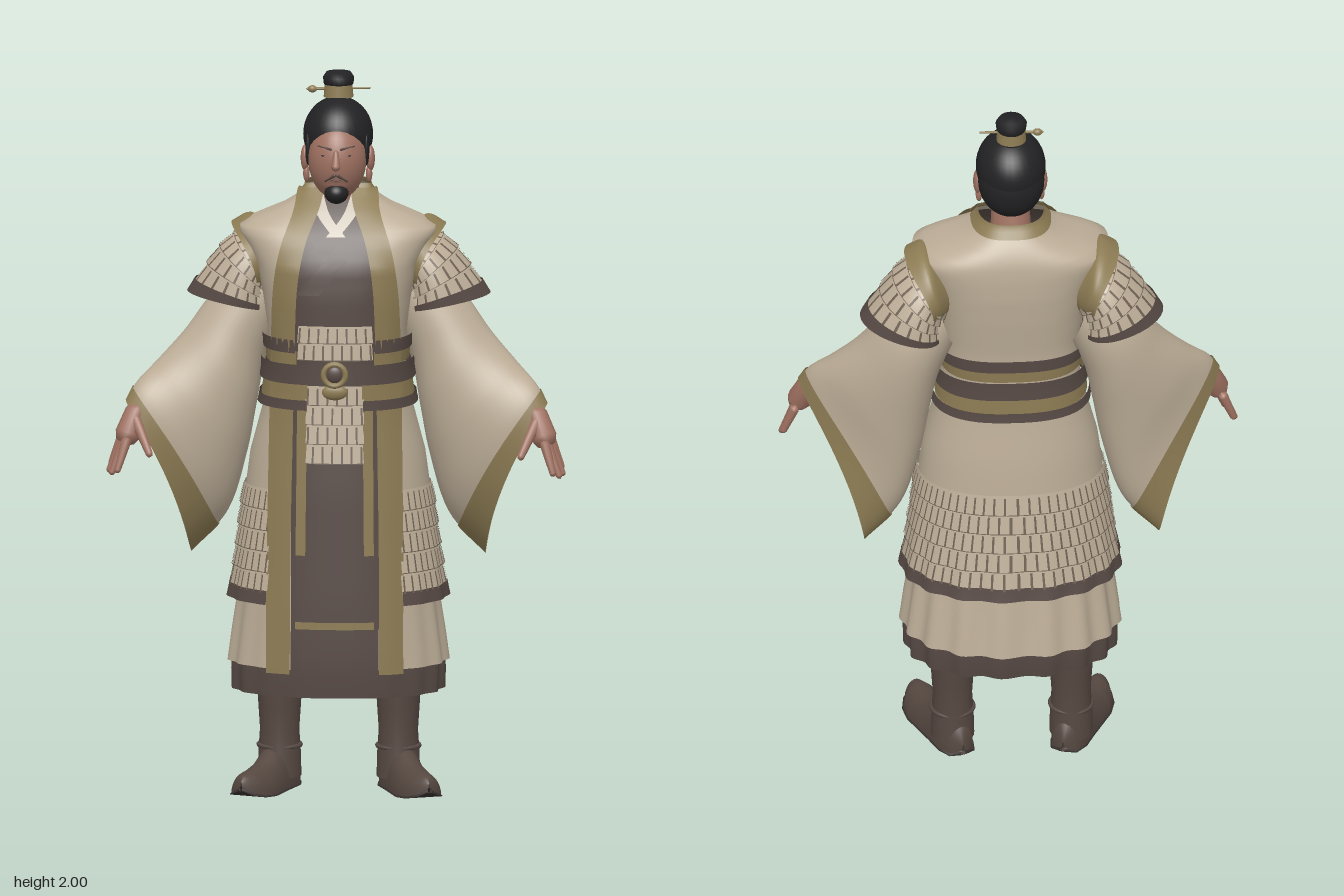
import * as THREE from 'three';
import { mergeGeometries, mergeVertices } from 'three/addons/utils/BufferGeometryUtils.js';

const V = (x, y, z = 0) => new THREE.Vector3(x, y, z);
const { lerp, clamp } = THREE.MathUtils;
const mat = (name, color) => {
  const m = new THREE.MeshStandardMaterial({ color, side: THREE.DoubleSide });
  m.name = name;
  return m;
};
const cream = mat('cream cloth', 0xbcad97), gold = mat('gold trim', 0x8d7c54), brown = mat('brown cloth', 0x574a45),
  lace = mat('lacing', 0x6e6052), skin = mat('skin', 0xa07262), hair = mat('black hair', 0x222224),
  leather = mat('boot leather', 0x564841), sole = mat('sole', 0x38312f), white = mat('white collar', 0xc9c0b1);

// Smooth surface from f(u, v) with u and v in 0..1
function grid(f, nu, nv) {
  const pos = [], idx = [];
  for (let j = 0; j <= nv; j++) for (let i = 0; i <= nu; i++) pos.push(...f(i / nu, j / nv).toArray());
  for (let j = 0; j < nv; j++) for (let i = 0; i < nu; i++) {
    const a = j * (nu + 1) + i, b = a + nu + 1;
    idx.push(a, b, a + 1, a + 1, b, b + 1);
  }
  let g = new THREE.BufferGeometry();
  g.setAttribute('position', new THREE.Float32BufferAttribute(pos, 3));
  g.setIndex(idx);
  g = mergeVertices(g, 1e-5);
  g.computeVertexNormals();
  return g;
}
function add(parent, name, geo, m) {
  const mesh = new THREE.Mesh(geo, m);
  mesh.name = name;
  parent.add(mesh);
  return mesh;
}
function ball(parent, name, m, p, r) {
  const b = add(parent, name, new THREE.SphereGeometry(1, 32, 24), m);
  b.position.set(...p);
  b.scale.set(...r);
}
// Tapered rounded limb between two points
function limb(parent, name, m, a, b, r0, r1) {
  const d = b.clone().sub(a), L = d.length();
  const prof = [[0, -r0], [r0 * 0.8, -r0 * 0.5], [r0, 0], [r1, L], [r1 * 0.75, L + r1 * 0.6], [0, L + r1]];
  const g = new THREE.LatheGeometry(prof.map(p => new THREE.Vector2(...p)), 12);
  const mesh = add(parent, name, g, m);
  mesh.position.copy(a);
  mesh.quaternion.setFromUnitVectors(V(0, 1, 0), d.normalize());
}

// Clothed body outline: y, half width, front z, back z
const OUT = [[0.29, 0.296, 0.205, -0.215], [0.37, 0.298, 0.213, -0.23], [0.56, 0.272, 0.21, -0.2], [0.86, 0.25, 0.197, -0.18],
  [0.95, 0.238, 0.19, -0.172], [1.1, 0.198, 0.182, -0.15], [1.2, 0.183, 0.182, -0.145], [1.3, 0.19, 0.183, -0.15],
  [1.4, 0.205, 0.183, -0.163], [1.48, 0.225, 0.174, -0.17], [1.54, 0.255, 0.147, -0.17], [1.575, 0.275, 0.125, -0.167],
  [1.6, 0.23, 0.105, -0.162], [1.63, 0.155, 0.078, -0.148], [1.66, 0.105, 0.045, -0.128], [1.69, 0.085, 0.01, -0.105]];
function outline(y) {
  let i = 1;
  while (i < OUT.length - 1 && OUT[i][0] < y) i++;
  const a = OUT[i - 1], b = OUT[i], t = clamp((y - a[0]) / (b[0] - a[0]), 0, 1);
  return [1, 2, 3].map(k => lerp(a[k], b[k], t));
}
// Round at the skirt, boxier at the shoulders
const power = y => lerp(0.9, 0.75, clamp((y - 0.9) / 0.35, 0, 1));
function body(th, y, off = 0) {
  const [rx, zf, zb] = outline(y), s = Math.sin(th), c = Math.cos(th), e = power(y);
  const fold = 0.007 * clamp((0.75 - y) / 0.3, 0, 1) * Math.sin(th * 17) * (1 - Math.max(0, c));
  return V((rx + off + fold) * Math.sign(s) * Math.abs(s) ** e, y,
    (c > 0 ? zf + off + fold : zb - off - fold) * Math.abs(c) ** e);
}
const angle = (x, y) => Math.sign(x) * Math.asin(Math.min(1, (Math.abs(x) / outline(y)[0]) ** (1 / power(y))));
const front = (x, y, off) => body(angle(x, y), y, off);
// Wrapped sheet running round the back, open at the front by gap(y); v = 0 is the top
const sheet = (y0, y1, gap, off0, off1 = off0) => (u, v, o = 0) => {
  const y = lerp(y1, y0, v), a = angle(gap(y), y);
  return body(lerp(a, Math.PI * 2 - a, u), y, lerp(off1, off0, v) + o);
};
const patch = (x0, x1, y0, y1, off) => (u, v, o = 0) => front(lerp(x0, x1, u), lerp(y1, y0, v), off + o);
// Ribbon lying on the front of the body
function ribbon(pts, width, off) {
  const c = new THREE.CatmullRomCurve3(pts.map(p => V(...p)), false, 'centripetal');
  return (u, v) => { const p = c.getPoint(v); return front(p.x + (u - 0.5) * width, p.y, off); };
}
// Tube from sections [top x,y,z], [bottom x,y,z], half depth
function tube(sec) {
  const cv = k => new THREE.CatmullRomCurve3(sec.map(s => k < 2 ? V(...s[k]) : V(s[2], s[2], 0)));
  const [T, B, W] = [0, 1, 2].map(cv);
  return (u, v, o = 0) => {
    const t = T.getPoint(v), b = B.getPoint(v), w = W.getPoint(v).x, a = t.clone().sub(b).multiplyScalar(0.5);
    const th = u * Math.PI * 2, p = t.add(b).multiplyScalar(0.5);
    p.addScaledVector(a, (1 + o / a.length()) * Math.cos(th));
    p.z += (w + o) * Math.sin(th);
    p.x -= 0.03 * v * v * Math.sin(th) ** 2;
    return p;
  };
}
const span = (f, v0, v1, off = 0) => (u, v, o = 0) => f(u, lerp(v0, v1, v), off + o);
// Overlapping rows of small laced plates
function armour(parent, name, f, rows, cols, nu) {
  const plates = [], laces = [];
  const cell = (u0, u1, r, a, b, up) => (u, v) => {
    const k = lerp(a, b, v);
    return f(lerp(u0, u1, u), (r + k) / rows, 0.002 + 0.006 * k + up);
  };
  for (let r = 0; r < rows; r++) {
    plates.push(grid(cell(0, 1, r, 0, 1, 0), nu, 2));
    laces.push(grid(cell(0, 1, r, 0.96, 1.0, 0.0015), nu, 1));
    for (let c = 0; c < cols; c++) {
      const u = (c + 0.25 + 0.5 * (r % 2)) / cols, w = 0.1 / cols;
      laces.push(grid(cell(u - w, u + w, r, 0.12, 0.96, 0.0025), 1, 1));
    }
  }
  add(parent, name + 'Plates', mergeGeometries(plates), cream);
  add(parent, name + 'Lacing', mergeGeometries(laces), lace);
}

function clothes(g) {
  const gap = y => y < 1.45 ? 0.12 : lerp(0.12, 0.05, (y - 1.45) / 0.24);
  add(g, 'underskirt', grid(sheet(0.29, 1.2, () => 0, -0.008), 120, 16), brown);
  add(g, 'innerTunic', grid(sheet(1.15, 1.655, () => 0, -0.01), 64, 20), brown);
  add(g, 'robeSkirt', grid(sheet(0.37, 1.2, gap, 0.002), 120, 20), cream);
  add(g, 'vest', grid(sheet(1.18, 1.68, gap, 0.002), 80, 30), cream);
  add(g, 'neckCollar', grid(sheet(1.66, 1.695, () => 0.055, 0.006), 40, 4), gold);
  // Laced skirt with its border
  armour(g, 'skirt', sheet(0.58, 0.865, () => 0.17, 0.018, 0.004), 5, 48, 80);
  add(g, 'skirtBorder', grid(sheet(0.55, 0.588, () => 0.17, 0.031, 0.027), 80, 2), brown);
  // Sash in stacked bands
  for (const [y0, y1, x, o, m] of [[1.25, 1.287, 0.1, 0.018, brown], [1.215, 1.255, 0.1, 0.012, gold],
    [1.165, 1.22, 0, 0.026, brown], [1.115, 1.17, 0.07, 0.014, gold], [1.092, 1.12, 0.07, 0.02, brown]])
    add(g, 'sashBand', grid(sheet(y0, y1, () => x, o), 72, 2), m);
  // Apron and chest panels
  add(g, 'apron', grid(patch(-0.105, 0.105, 0.49, 0.95, 0.004), 12, 10), brown);
  add(g, 'apronHem', grid(patch(-0.105, 0.105, 0.485, 0.505, 0.008), 12, 1), gold);
  armour(g, 'waistPanel', patch(-0.075, 0.075, 0.945, 1.16, 0.008), 4, 6, 8);
  armour(g, 'chestPanel', patch(-0.1, 0.1, 1.23, 1.325, 0), 2, 8, 8);
  for (const s of [1, -1]) {
    add(g, 'vestEdge', grid(ribbon([[0.147 * s, 0.36], [0.143 * s, 0.8], [0.133 * s, 1.2], [0.125 * s, 1.45],
      [0.105 * s, 1.56], [0.072 * s, 1.64], [0.06 * s, 1.685]], 0.062, 0.018), 4, 50), gold);
    add(g, 'apronStrap', grid(ribbon([[0.09 * s, 0.69], [0.085 * s, 1.16]], 0.026, 0.012), 2, 10), gold);
    add(g, 'whiteCollar', grid(ribbon([[0.055 * s, 1.672], [0.035 * s, 1.62], [-0.01 * s, 1.565]], 0.034, 0.004), 3, 10), white);
  }
  add(g, 'outerLapel', grid(ribbon([[0.085, 1.64], [0.045, 1.56], [-0.075, 1.41]], 0.06, 0.002), 3, 12), brown);
  add(g, 'innerLapel', grid(ribbon([[-0.085, 1.64], [-0.05, 1.57], [0, 1.5]], 0.06, -0.004), 3, 12), brown);
  // Buckle
  const ring = add(g, 'buckleRing', new THREE.TorusGeometry(0.03, 0.008, 10, 24), gold);
  ring.position.set(0, 1.195, 0.213);
  ball(g, 'buckleBoss', brown, [0, 1.195, 0.207], [0.024, 0.024, 0.012]);
  ball(g, 'sashKnot', gold, [0, 1.145, 0.2], [0.035, 0.022, 0.014]);
}

function arm(g) {
  const sleeve = tube([[[0.22, 1.5, -0.05], [0.16, 1.3, -0.05], 0.1], [[0.345, 1.38, -0.045], [0.2, 1.2, -0.045], 0.115],
    [[0.42, 1.28, -0.02], [0.225, 1.07, -0.03], 0.122], [[0.495, 1.2, 0.02], [0.25, 0.94, -0.03], 0.12],
    [[0.55, 1.145, 0.06], [0.305, 0.77, -0.035], 0.108], [[0.578, 1.095, 0.08], [0.405, 0.66, -0.04], 0.095]]);
  add(g, 'sleeve', grid(span(sleeve, 0, 0.88), 40, 30), cream);
  add(g, 'sleeveLining', grid(span(sleeve, 0.55, 0.9, -0.006), 40, 10), gold);
  add(g, 'cuff', grid(span(sleeve, 0.855, 1, 0.004), 40, 6), gold);
  // Shoulder guard under the vest edge
  const guard = tube([[[0.22, 1.56, -0.05], [0.17, 1.42, -0.05], 0.11], [[0.29, 1.535, -0.052], [0.185, 1.4, -0.052], 0.125],
    [[0.35, 1.465, -0.054], [0.195, 1.37, -0.054], 0.13], [[0.405, 1.38, -0.055], [0.2, 1.34, -0.055], 0.128]]);
  armour(g, 'shoulder', span(guard, 0.1, 0.9), 4, 20, 40);
  add(g, 'shoulderBorder', grid(span(guard, 0.87, 1, 0.012), 40, 3), brown);
  const hole = tube([[[0.2, 1.57, -0.05], [0.16, 1.42, -0.05], 0.08], [[0.245, 1.599, -0.05], [0.19, 1.39, -0.05], 0.13],
    [[0.295, 1.575, -0.05], [0.225, 1.375, -0.05], 0.14]]);
  add(g, 'armholeTrim', grid(hole, 40, 10), gold);
  // Hand
  limb(g, 'forearm', skin, V(0.47, 1.11, 0.045), V(0.55, 1.07, 0.095), 0.034, 0.027);
  limb(g, 'palm', skin, V(0.55, 1.07, 0.1), V(0.572, 1.01, 0.122), 0.03, 0.035);
  [[0.09, 0.618, 0.925, 0.095], [0.11, 0.622, 0.91, 0.12], [0.13, 0.614, 0.908, 0.148], [0.148, 0.598, 0.918, 0.172]]
    .forEach(([z, x, y, tz], i) => limb(g, 'finger', skin, V(0.59 - i * 0.005, 0.995, z), V(x, y, tz), 0.014, 0.009));
  limb(g, 'thumb', skin, V(0.55, 1.05, 0.125), V(0.51, 0.965, 0.18), 0.016, 0.01);
}

function leg(g) {
  const shaft = [[0.06, 0.03], [0.058, 0.1], [0.054, 0.16], [0.058, 0.22], [0.063, 0.3], [0.066, 0.38], [0.075, 0.6]];
  const s = add(g, 'bootShaft', new THREE.LatheGeometry(shaft.map(p => new THREE.Vector2(...p)), 24), leather);
  s.scale.z = 1.12;
  s.position.set(0.163, 0, -0.062);
  const cuff = add(g, 'bootStrap', new THREE.TorusGeometry(0.057, 0.007, 8, 24), brown);
  cuff.rotation.x = Math.PI / 2;
  cuff.position.set(0.163, 0.115, -0.062);
  // Foot sections: distance along foot, half width, height, lift
  const foot = [[-0.078, 0.005, 0.03, 0], [-0.07, 0.035, 0.08, 0], [-0.03, 0.05, 0.13, 0], [0.03, 0.052, 0.13, 0],
    [0.09, 0.056, 0.088, 0], [0.15, 0.06, 0.074, 0], [0.2, 0.052, 0.068, 0.004], [0.235, 0.032, 0.055, 0.012], [0.248, 0.003, 0.025, 0.025]];
  const shape = (grow, top) => (u, v) => {
    const f = foot[Math.round(v * (foot.length - 1))], th = u * Math.PI * 2, h = top || f[2];
    return V((f[1] + grow) * Math.cos(th), f[3] + Math.max(0, h * Math.sin(th)), f[0] * (1 + grow * 4));
  };
  for (const [name, geo, m] of [['bootFoot', grid(shape(0, 0), 32, 8), leather], ['bootSole', grid(shape(0.003, 0.014), 32, 8), sole]]) {
    const b = add(g, name, geo, m);
    b.position.set(0.166, 0, -0.06);
    b.rotation.y = 0.38;
  }
}

function head(g) {
  ball(g, 'face', skin, [0, 1.768, 0.04], [0.08, 0.112, 0.09]);
  ball(g, 'jaw', skin, [0, 1.725, 0.055], [0.062, 0.055, 0.065]);
  limb(g, 'neck', skin, V(0, 1.57, -0.02), V(0, 1.72, 0.005), 0.06, 0.05);
  ball(g, 'hairCap', hair, [0, 1.828, -0.012], [0.096, 0.104, 0.113]);
  ball(g, 'hairBack', hair, [0, 1.795, -0.037], [0.091, 0.105, 0.087]);
  limb(g, 'nose', skin, V(0, 1.8, 0.126), V(0, 1.762, 0.138), 0.007, 0.013);
  ball(g, 'beard', hair, [0, 1.682, 0.093], [0.033, 0.03, 0.038]);
  ball(g, 'mouth', brown, [0, 1.722, 0.118], [0.016, 0.003, 0.006]);
  for (const s of [1, -1]) {
    ball(g, 'ear', skin, [0.09 * s, 1.765, 0.012], [0.012, 0.036, 0.022]);
    ball(g, 'earlobe', skin, [0.086 * s, 1.722, 0.016], [0.009, 0.024, 0.012]);
    ball(g, 'sideburn', hair, [0.08 * s, 1.795, 0.042], [0.008, 0.045, 0.014]);
    limb(g, 'moustache', brown, V(0.004 * s, 1.736, 0.126), V(0.03 * s, 1.718, 0.112), 0.0045, 0.003);
    limb(g, 'eyebrow', brown, V(0.014 * s, 1.808, 0.123), V(0.05 * s, 1.814, 0.101), 0.0035, 0.002);
    ball(g, 'eye', hair, [0.031 * s, 1.79, 0.116], [0.01, 0.003, 0.004]);
  }
  // Topknot with its band and pin
  const knot = [[0.03, 1.91], [0.032, 1.95], [0.041, 1.965], [0.043, 1.982], [0.034, 1.996], [0, 2]];
  add(g, 'topknot', new THREE.LatheGeometry(knot.map(p => new THREE.Vector2(...p)), 24), hair).position.z = -0.038;
  const band = add(g, 'topknotBand', new THREE.CylinderGeometry(0.038, 0.041, 0.035, 24, 1, true), gold);
  band.position.set(0, 1.945, -0.036);
  limb(g, 'hairPin', gold, V(-0.085, 1.948, -0.036), V(0.085, 1.952, -0.036), 0.004, 0.003);
  ball(g, 'pinHead', gold, [-0.072, 1.948, -0.036], [0.013, 0.01, 0.01]);
}

export function createModel() {
  const model = new THREE.Group();
  model.name = 'robedOfficer';
  const part = (name, build, flip = 1) => {
    const g = new THREE.Group();
    g.name = name;
    build(g);
    g.scale.x = flip;
    model.add(g);
  };
  part('clothes', clothes);
  part('head', head);
  for (const [side, s] of [['left', 1], ['right', -1]]) {
    part(side + 'Arm', arm, s);
    part(side + 'Leg', leg, s);
  }
  return model;
}
